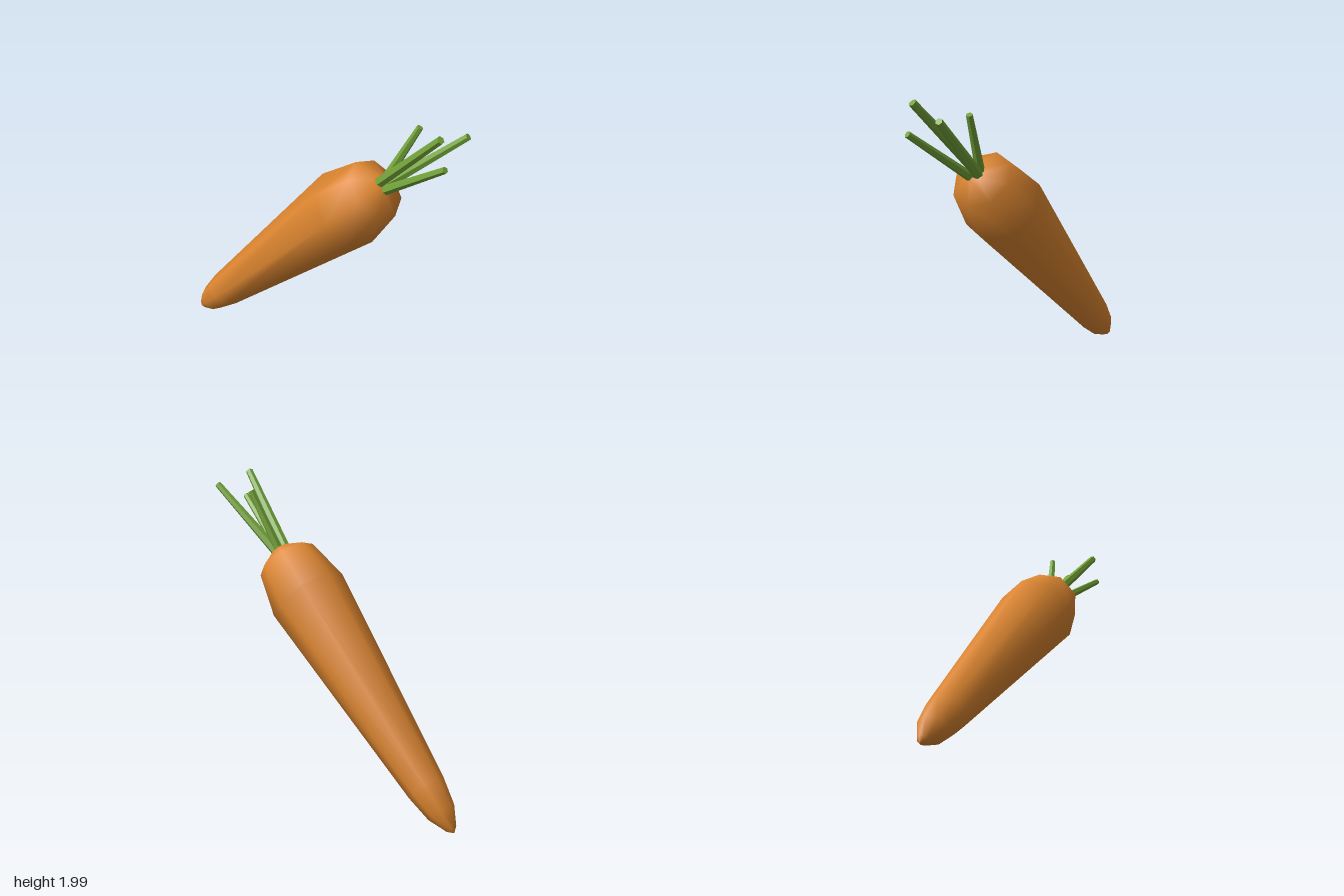
import * as THREE from 'three';

export function createModel() {
  const model = new THREE.Group();
  model.name = 'carrot';

  const orange = new THREE.MeshStandardMaterial({ color: 0xdd8630 });
  orange.name = 'carrotOrange';
  const green = new THREE.MeshStandardMaterial({ color: 0x74a43a });
  green.name = 'stalkGreen';

  // Root: eight-sided smooth lathe, [radius, distance along the axis], leaning towards +x
  const profile = [
    [0, -0.03], [0.034, 0], [0.092, 0.117], [0.124, 0.29],
    [0.258, 1.733], [0.198, 2.012], [0.062, 2.095], [0, 2.1],
  ].map(([r, s]) => new THREE.Vector2(r, s));
  const root = new THREE.Mesh(new THREE.LatheGeometry(profile, 8), orange);
  root.name = 'root';
  root.position.set(-0.955, 0.03, 0);
  root.rotation.z = -Math.atan2(0.6987, 0.7154);
  model.add(root);

  // Stalks: tapered rods fanning out of the crown
  const up = new THREE.Vector3(0, 1, 0);
  function addStalk(name, from, to, baseRadius, tipRadius) {
    const a = new THREE.Vector3(...from);
    const b = new THREE.Vector3(...to);
    const dir = b.clone().sub(a);
    const geometry = new THREE.CylinderGeometry(tipRadius, baseRadius, dir.length(), 6).toNonIndexed();
    geometry.computeVertexNormals();
    const stalk = new THREE.Mesh(geometry, green);
    stalk.name = name;
    stalk.position.copy(a).add(b).multiplyScalar(0.5);
    stalk.quaternion.setFromUnitVectors(up, dir.normalize());
    model.add(stalk);
  }
  addStalk('shortBackStalk', [0.50, 1.54, -0.025], [0.672, 1.905, -0.095], 0.03, 0.02);
  addStalk('longFrontStalk', [0.49, 1.54, 0.025], [0.912, 1.985, 0.11], 0.034, 0.024);
  addStalk('longBackStalk', [0.52, 1.52, -0.025], [0.962, 1.918, -0.125], 0.034, 0.022);
  addStalk('lowFrontStalk', [0.53, 1.5, 0.025], [0.955, 1.815, 0.115], 0.03, 0.02);

  return model;
}
